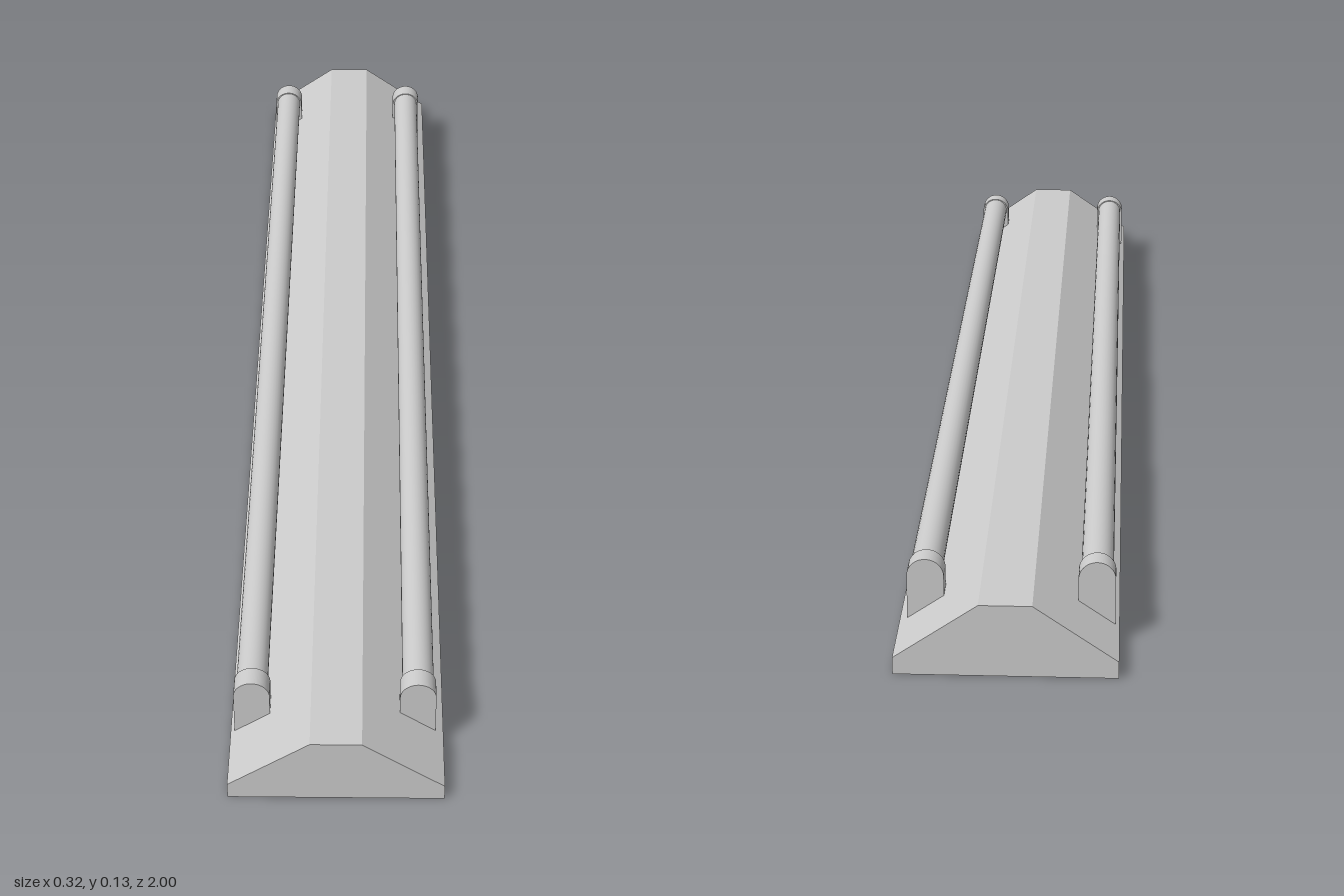
import * as THREE from 'three';

const material = new THREE.MeshStandardMaterial({ color: 0xcccccc });

// Extrudes an outline along z, starting at z0
function extrude(name, shape, z0, depth) {
  const geometry = new THREE.ExtrudeGeometry(shape, { depth, bevelEnabled: false, curveSegments: 24 });
  geometry.translate(0, 0, z0);
  const mesh = new THREE.Mesh(geometry, material);
  mesh.name = name;
  return mesh;
}

export function createModel() {
  const group = new THREE.Group();
  group.name = 'twinTubeLight';

  // Housing: low trapezoid reflector with a thin vertical rim
  const profile = [[-0.16, 0], [0.16, 0], [0.16, 0.026], [0.038, 0.111], [-0.038, 0.111], [-0.16, 0.026]];
  const housing = new THREE.Shape(profile.map(([x, y]) => new THREE.Vector2(x, y)));
  group.add(extrude('housing', housing, -1, 2));

  const radius = 0.027, axisY = 0.102, outerZ = 0.896, thickness = 0.033;

  for (const [side, x] of [['left', 0.121], ['right', -0.127]]) {
    // Round-topped sockets at both ends, sunk into the housing
    const socket = new THREE.Shape();
    socket.moveTo(x - radius, 0.015);
    socket.lineTo(x + radius, 0.015);
    socket.lineTo(x + radius, axisY);
    socket.absarc(x, axisY, radius, 0, Math.PI, false);
    socket.closePath();
    group.add(extrude(side + 'FrontSocket', socket, outerZ - thickness, thickness));
    group.add(extrude(side + 'BackSocket', socket, -outerZ, thickness));

    // Tube spanning between the sockets
    const tubeGeometry = new THREE.CylinderGeometry(0.0235, 0.0235, 2 * outerZ - thickness, 32);
    tubeGeometry.rotateX(Math.PI / 2);
    const tube = new THREE.Mesh(tubeGeometry, material);
    tube.name = side + 'Tube';
    tube.position.set(x, axisY + 0.002, 0);
    group.add(tube);
  }
  return group;
}
